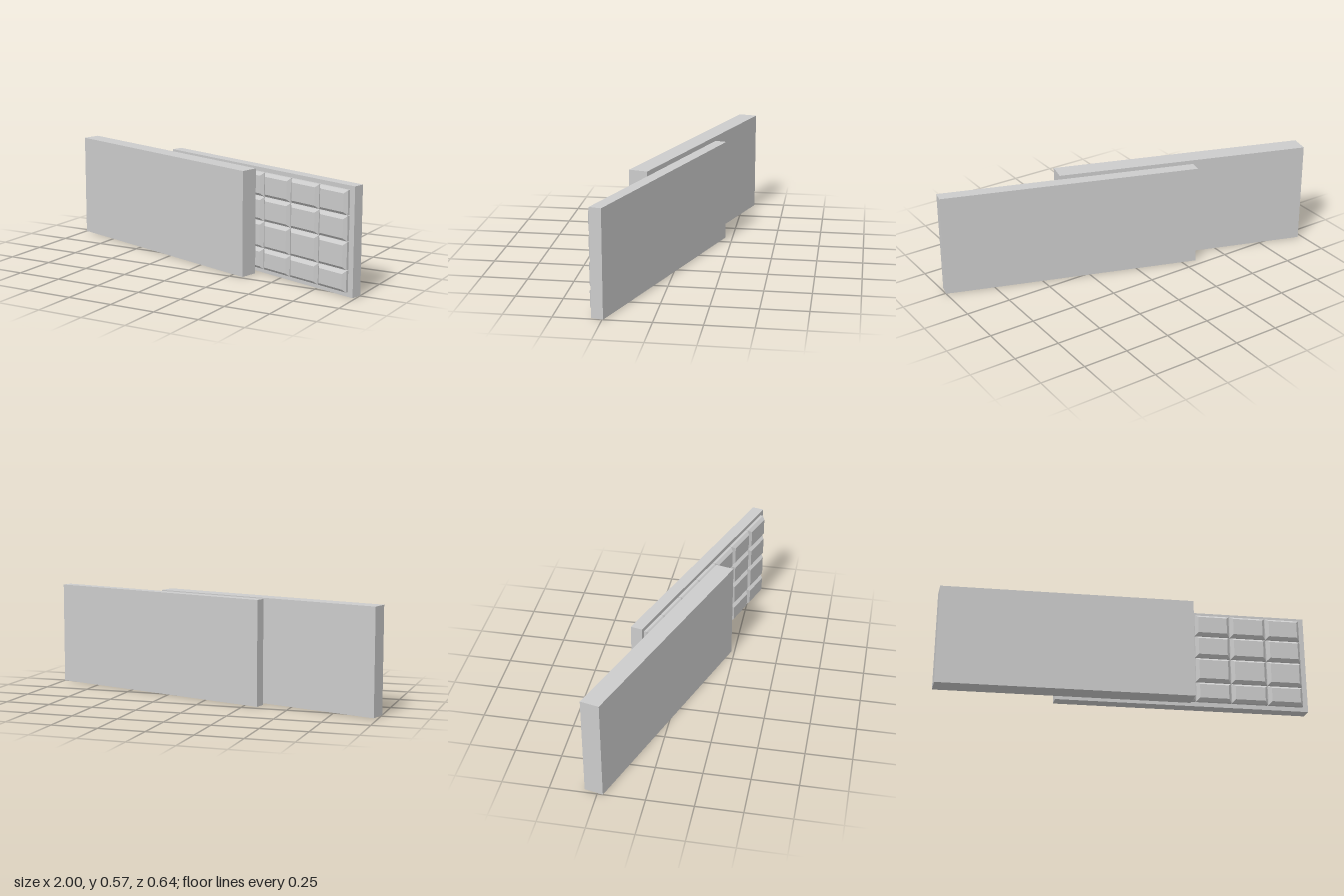
import * as THREE from 'three';

const material = new THREE.MeshStandardMaterial({ color: 0xcccccc, flatShading: true });
const HEIGHT = 0.57;

// Slanted layout: x runs along the slabs, z through their thickness
const slant = new THREE.Matrix4().set(
  1, 0, -0.23, 0,
  0, 1, 0, 0,
  0.343, 0, 1, 0,
  0, 0, 0, 1
);

// Box between two corners, its front edge bevelled by `inset`, then slanted
function slab(name, [x0, y0, z0], [x1, y1, z1], inset = 0) {
  const w = x1 - x0, h = y1 - y0, d = z1 - z0;
  const box = new THREE.BoxGeometry(w, h, d, 1, 1, inset ? 2 : 1);
  const p = box.attributes.position;
  if (inset) {
    for (let i = 0; i < p.count; i++) {
      if (p.getZ(i) < d / 2 - 1e-4) continue;
      p.setX(i, p.getX(i) - Math.sign(p.getX(i)) * inset);
      p.setY(i, p.getY(i) - Math.sign(p.getY(i)) * inset);
    }
  }
  box.translate((x0 + x1) / 2, (y0 + y1) / 2, (z0 + z1) / 2).applyMatrix4(slant);
  const geometry = box.toNonIndexed();
  geometry.computeVertexNormals();
  const mesh = new THREE.Mesh(geometry, material);
  mesh.name = name;
  return mesh;
}

export function createModel() {
  const model = new THREE.Group();
  model.name = 'slidingBar';

  // Plain slab in front
  model.add(slab('frontSlab', [-0.974, 0, 0.014], [0.344, HEIGHT, 0.114]));

  // Thinner slab behind, carrying the segments
  const bar = new THREE.Group();
  bar.name = 'segmentedBar';
  bar.add(slab('barBase', [-0.346, 0, -0.091], [0.979, HEIGHT, -0.0285]));

  // Grid of bevelled segments
  const columns = [-0.33, -0.165, 0.015, 0.2, 0.382, 0.57, 0.763, 0.95];
  const rows = [0.023, 0.139, 0.286, 0.419, 0.55];
  const gap = 0.002;
  for (let c = 0; c < columns.length - 1; c++) {
    for (let r = 0; r < rows.length - 1; r++) {
      bar.add(slab('segment',
        [columns[c] + gap, rows[r] + gap, -0.03],
        [columns[c + 1] - gap, rows[r + 1] - gap, 0.003], 0.016));
    }
  }
  model.add(bar);
  return model;
}
